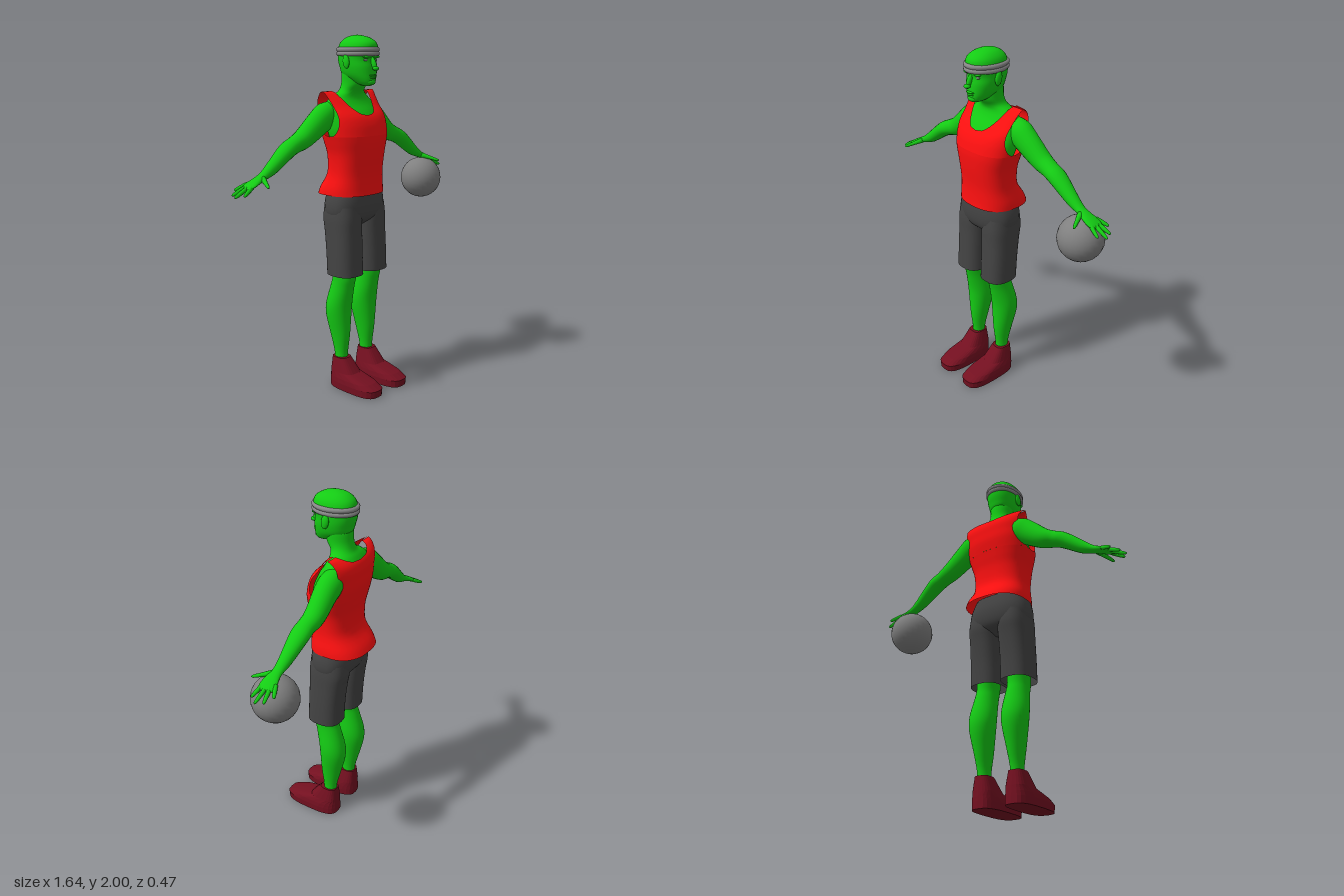
import * as THREE from 'three';

const mat = (color, extra = {}) => new THREE.MeshStandardMaterial({ color, ...extra });
const TAU = Math.PI * 2;

// Catmull-Rom resampling of rows of numbers, k steps per span
function smooth(rows, k) {
  const out = [], at = i => rows[Math.min(Math.max(i, 0), rows.length - 1)];
  for (let i = 0; i < rows.length - 1; i++)
    for (let j = 0; j < k; j++) {
      const t = j / k;
      out.push(rows[i].map((b, c) => {
        const a = at(i - 1)[c], d = at(i + 1)[c], e = at(i + 2)[c];
        return b + 0.5 * t * (d - a + t * (2 * a - 5 * b + 4 * d - e + t * (3 * (b - d) + e - a)));
      }));
    }
  out.push(rows[rows.length - 1]);
  return out;
}

// Surface through rows of points, optionally wrapped round and capped
function skin(rings, closed = true, caps = true) {
  const pos = [], idx = [], n = rings[0].length;
  rings.forEach(r => r.forEach(p => pos.push(...p)));
  for (let i = 0; i < rings.length - 1; i++)
    for (let j = 0; j < (closed ? n : n - 1); j++) {
      const a = i * n + j, b = i * n + (j + 1) % n;
      idx.push(a, a + n, b, b, a + n, b + n);
    }
  if (closed && caps)
    [0, rings.length - 1].forEach(r => {
      const c = pos.length / 3, mid = [0, 0, 0];
      rings[r].forEach(p => p.forEach((v, k) => { mid[k] += v / n; }));
      pos.push(...mid);
      for (let j = 0; j < n; j++) {
        const a = r * n + j, b = r * n + (j + 1) % n;
        idx.push(...(r ? [c, b, a] : [c, a, b]));
      }
    });
  const g = new THREE.BufferGeometry();
  g.setAttribute('position', new THREE.Float32BufferAttribute(pos, 3));
  g.setIndex(idx);
  g.computeVertexNormals();
  return g;
}

// Upright loft: rows of [y, centreX, halfWidth, frontZ, backZ], superellipse power p
function loft(rows, { p = 2, k = 4, seg = 32, caps = true } = {}) {
  const f = v => Math.sign(v) * Math.abs(v) ** (2 / p);
  return skin(smooth(rows, k).map(([y, cx, rx, zf, zb]) => Array.from({ length: seg }, (_, j) => {
    const a = j / seg * TAU;
    return [cx + rx * f(Math.cos(a)), y, (zf + zb) / 2 + (zf - zb) / 2 * f(Math.sin(a))];
  })), true, caps);
}

// Limb along a path: rows of [x, y, z, thickness radius, width radius]
function limb(rows, k = 4, seg = 20) {
  const r = smooth(rows, k), P = r.map(q => new THREE.Vector3(q[0], q[1], q[2]));
  return skin(r.map((q, i) => {
    const d = P[Math.min(i + 1, P.length - 1)].clone().sub(P[Math.max(i - 1, 0)]).normalize();
    const v = new THREE.Vector3(0, 1, 0).cross(d).normalize(), u = d.clone().cross(v);
    return Array.from({ length: seg }, (_, j) => {
      const a = j / seg * TAU;
      return P[i].clone().addScaledVector(u, q[3] * Math.cos(a)).addScaledVector(v, q[4] * Math.sin(a)).toArray();
    });
  }));
}

export function createModel() {
  const model = new THREE.Group();
  const skinMat = mat(0x14cc14), red = mat(0xff1010, { side: THREE.DoubleSide });
  const cloth = mat(0x444444, { side: THREE.DoubleSide }), grey = mat(0x888888);
  const shoeMat = mat(0x741020, { flatShading: true });
  const add = (parent, name, geo, m) => {
    const mesh = new THREE.Mesh(geo, m);
    mesh.name = name;
    parent.add(mesh);
    return mesh;
  };
  const ball = (parent, name, m, pos, scale, rotX = 0) => {
    const b = add(parent, name, new THREE.SphereGeometry(1, 24, 16), m);
    b.position.set(...pos);
    b.scale.set(...scale);
    b.rotation.x = rotX;
  };

  // Head and neck
  const head = new THREE.Group();
  head.name = 'head';
  model.add(head);
  add(head, 'skull', loft([
    [1.728, 0, 0.015, 0.07, 0.03], [1.74, 0, 0.04, 0.09, -0.01], [1.76, 0, 0.058, 0.096, -0.06],
    [1.79, 0, 0.076, 0.096, -0.11], [1.83, 0, 0.087, 0.094, -0.125], [1.87, 0, 0.091, 0.088, -0.135],
    [1.915, 0, 0.092, 0.1, -0.136], [1.955, 0, 0.082, 0.095, -0.125], [1.982, 0, 0.058, 0.06, -0.095],
    [1.995, 0, 0.03, 0.015, -0.06], [2, 0, 0.004, -0.018, -0.026]], { p: 2.2 }), skinMat);
  ball(head, 'noseBridge', skinMat, [0, 1.845, 0.1], [0.013, 0.04, 0.015], -0.4);
  ball(head, 'noseTip', skinMat, [0, 1.822, 0.114], [0.018, 0.012, 0.018]);
  ball(head, 'upperLip', skinMat, [0, 1.785, 0.094], [0.027, 0.006, 0.014]);
  ball(head, 'lowerLip', skinMat, [0, 1.773, 0.093], [0.023, 0.006, 0.013]);
  ball(head, 'chin', skinMat, [0, 1.75, 0.078], [0.03, 0.018, 0.022]);
  for (const s of [-1, 1]) {
    ball(head, 'brow', skinMat, [s * 0.036, 1.884, 0.08], [0.028, 0.009, 0.014]);
    ball(head, 'eye', grey, [s * 0.037, 1.866, 0.075], [0.015, 0.007, 0.008]);
    ball(head, 'ear', skinMat, [s * 0.096, 1.858, -0.015], [0.012, 0.038, 0.022], -0.15);
  }
  // Headband of two stacked rolls
  const bandPath = y => new THREE.CatmullRomCurve3(Array.from({ length: 24 }, (_, i) =>
    new THREE.Vector3(0.09 * Math.cos(i / 24 * TAU), y, -0.018 + 0.118 * Math.sin(i / 24 * TAU))), true);
  for (const y of [1.9, 1.922])
    add(head, 'headband', new THREE.TubeGeometry(bandPath(y), 64, 0.013, 10, true), grey);
  add(model, 'neckAndChest', loft([
    [1.4, 0, 0.15, 0.07, -0.14], [1.48, 0, 0.175, 0.08, -0.165], [1.57, 0, 0.18, 0.04, -0.172],
    [1.63, 0, 0.17, 0, -0.168], [1.67, 0, 0.125, -0.015, -0.15], [1.7, 0, 0.08, -0.005, -0.13],
    [1.74, 0, 0.068, 0.025, -0.12], [1.8, 0, 0.07, 0.03, -0.115], [1.83, 0, 0.06, 0.02, -0.1]]), skinMat);

  // Tank top: closed body, then front and back panels meeting at the shoulders
  const shirt = new THREE.Group();
  shirt.name = 'tankTop';
  model.add(shirt);
  add(shirt, 'shirtBody', loft([
    [1.13, 0, 0.183, 0.088, -0.235], [1.17, 0, 0.18, 0.085, -0.215], [1.25, 0, 0.165, 0.085, -0.165],
    [1.35, 0, 0.17, 0.096, -0.16], [1.42, 0, 0.188, 0.101, -0.172], [1.46, 0, 0.2, 0.1, -0.18]],
    { p: 2.5, seg: 48, caps: false }), red);
  // Rows: y, rx, frontZ, backZ, armhole edge x
  const yoke = smooth([
    [1.46, 0.2, 0.1, -0.18, 0.2], [1.52, 0.207, 0.085, -0.19, 0.189], [1.57, 0.21, 0.06, -0.19, 0.184],
    [1.62, 0.212, 0.012, -0.187, 0.184], [1.66, 0.213, -0.025, -0.17, 0.19],
    [1.69, 0.213, -0.06, -0.135, 0.197], [1.7, 0.213, -0.09, -0.1, 0.2]], 8);
  const panel = (front, neckY) => skin(yoke.map(([y, rx, zf, zb, xo]) => {
    const xi = y > neckY ? 0.13 * Math.min(1, (y - neckY) / (1.7 - neckY)) ** 0.38 : 0;
    return Array.from({ length: 17 }, (_, j) => {
      const t = Math.sin(j / 16 * Math.PI / 2), x = front ? xo + (xi - xo) * (1 - Math.cos(j / 16 * Math.PI / 2)) : xi + (xo - xi) * t;
      const h = Math.max(0, 1 - (x / rx) ** 2.5) ** 0.4;
      return [x, y, (zf + zb) / 2 + (front ? 1 : -1) * (zf - zb) / 2 * h];
    });
  }), false);

  // Shorts: hips here, legs below
  add(model, 'shortsHips', loft([
    [0.95, 0, 0.08, 0, -0.09], [0.985, 0, 0.16, 0.05, -0.14], [1.03, 0, 0.186, 0.07, -0.162],
    [1.1, 0, 0.184, 0.074, -0.165], [1.18, 0, 0.158, 0.065, -0.145]], { p: 2.6 }), cloth);

  // Everything mirrored left and right
  for (const s of [1, -1]) {
    const side = new THREE.Group();
    side.name = s > 0 ? 'leftSide' : 'rightSide';
    side.scale.x = s;
    model.add(side);
    add(side, 'shirtFront', panel(true, 1.57), red);
    add(side, 'shirtBack', panel(false, 1.66), red);

    add(side, 'shortsLeg', loft([
      [0.675, 0.1, 0.09, 0.075, -0.122], [0.8, 0.1, 0.09, 0.07, -0.128], [0.92, 0.098, 0.09, 0.066, -0.142],
      [1, 0.097, 0.09, 0.066, -0.155], [1.07, 0.095, 0.085, 0.06, -0.15]], { p: 2.6, caps: false }), cloth);
    add(side, 'leg', loft([
      [0.12, 0.105, 0.036, -0.015, -0.09], [0.2, 0.105, 0.036, -0.012, -0.095], [0.3, 0.105, 0.05, 0, -0.12],
      [0.42, 0.106, 0.07, 0.004, -0.147], [0.5, 0.106, 0.074, 0.01, -0.143], [0.6, 0.104, 0.063, 0.03, -0.115],
      [0.66, 0.103, 0.06, 0.045, -0.1], [0.75, 0.1, 0.065, 0.05, -0.1]]), skinMat);
    add(side, 'shoe', loft([
      [0, 0.105, 0.076, 0.236, -0.108], [0.04, 0.105, 0.077, 0.24, -0.108], [0.065, 0.105, 0.073, 0.19, -0.107],
      [0.095, 0.105, 0.063, 0.068, -0.105], [0.175, 0.107, 0.043, 0.002, -0.098]],
      { p: 3, k: 1, seg: 24 }), shoeMat);

    // Arm, palm and fingers
    add(side, 'arm', limb([
      [0.1, 1.6, -0.1, 0.05, 0.05], [0.17, 1.57, -0.1, 0.073, 0.065], [0.23, 1.53, -0.1, 0.07, 0.062],
      [0.33, 1.457, -0.106, 0.056, 0.056], [0.4, 1.428, -0.102, 0.046, 0.05], [0.46, 1.4, -0.1, 0.043, 0.052],
      [0.57, 1.32, -0.095, 0.033, 0.036], [0.63, 1.287, -0.092, 0.021, 0.029], [0.67, 1.27, -0.09, 0.017, 0.036],
      [0.71, 1.252, -0.092, 0.014, 0.046], [0.735, 1.24, -0.094, 0.01, 0.042], [0.745, 1.235, -0.095, 0.003, 0.03]]), skinMat);
    const fingers = [
      // start x, y, z then tip x, y, z
      [0.7, 1.255, -0.128, 0.762, 1.224, -0.16],
      [0.72, 1.247, -0.11, 0.802, 1.205, -0.128],
      [0.72, 1.247, -0.09, 0.818, 1.2, -0.086],
      [0.715, 1.25, -0.066, 0.79, 1.208, -0.046],
      [0.645, 1.278, -0.072, 0.692, 1.248, 0.026]];
    fingers.forEach(([x, y, z, X, Y, Z], i) => {
      const row = (t, r) => [x + (X - x) * t, y + (Y - y) * t, z + (Z - z) * t, r, r];
      add(side, i < 4 ? 'finger' : 'thumb', limb([
        row(0, i < 4 ? 0.011 : 0.016), row(0.5, 0.011), row(0.9, 0.008), row(1, 0.002)], 3, 10), skinMat);
    });
  }

  // Ball under the left hand
  ball(model, 'ball', mat(0x808080), [0.65, 1.138, -0.083], [0.125, 0.125, 0.125]);
  return model;
}
